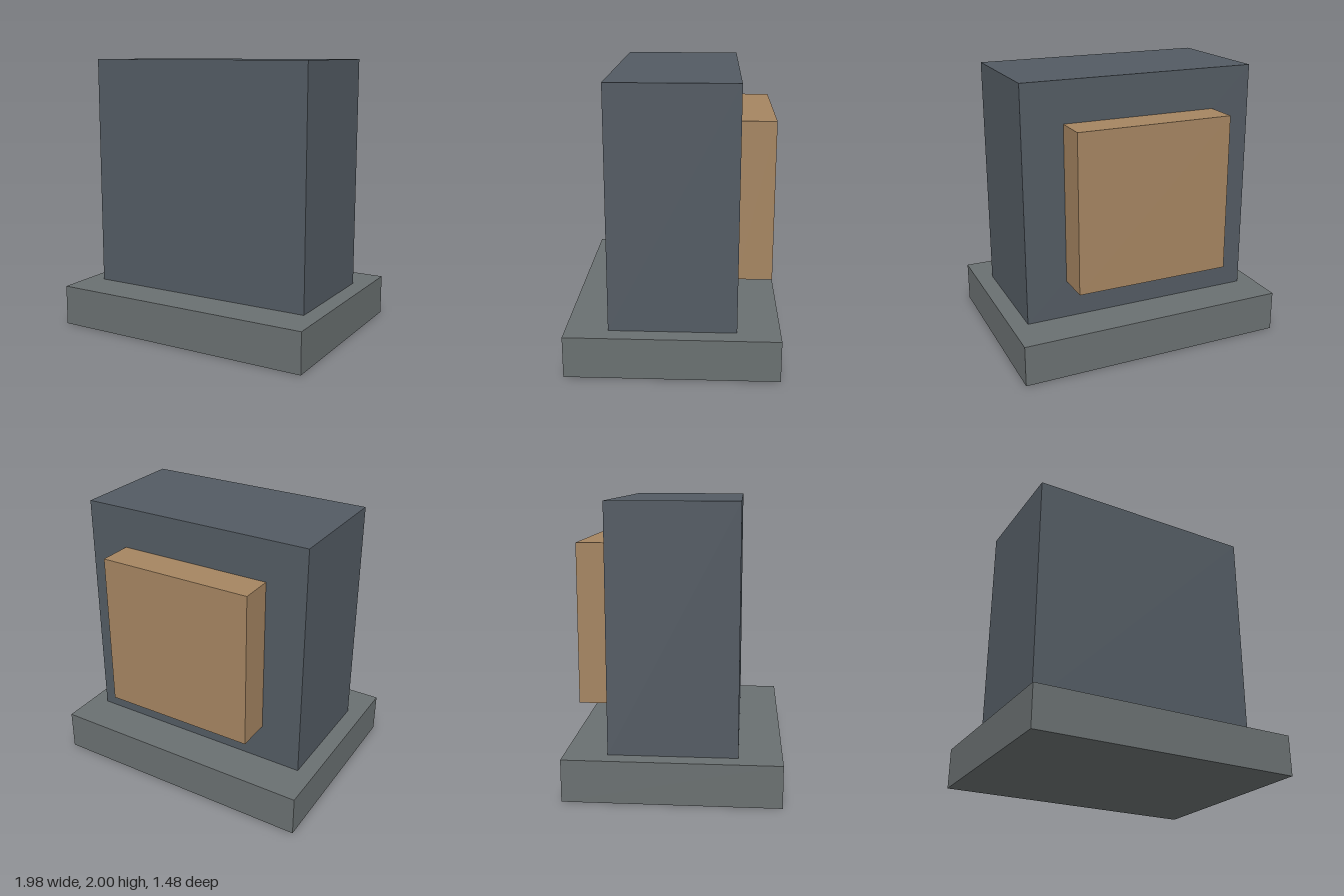
import * as THREE from 'three';

// Box given by its width, its bottom and top, and its back and front
function block(name, color, width, [y0, y1], [z0, z1]) {
  const mesh = new THREE.Mesh(
    new THREE.BoxGeometry(width, y1 - y0, z1 - z0),
    new THREE.MeshStandardMaterial({ color })
  );
  mesh.position.set(0, (y0 + y1) / 2, (z0 + z1) / 2);
  mesh.name = name;
  return mesh;
}

export function createModel() {
  const group = new THREE.Group();
  group.name = 'pedestalBlock';
  group.add(
    // wide plinth
    block('base', 0x6a7071, 1.975, [0, 0.295], [-0.741, 0.741]),
    // upright slab standing on the plinth
    block('body', 0x535b63, 1.728, [0.295, 2], [-0.443, 0.443]),
    // raised panel on the back
    block('backPanel', 0xa58561, 1.136, [0.57, 1.705], [-0.69, -0.443])
  );
  return group;
}
